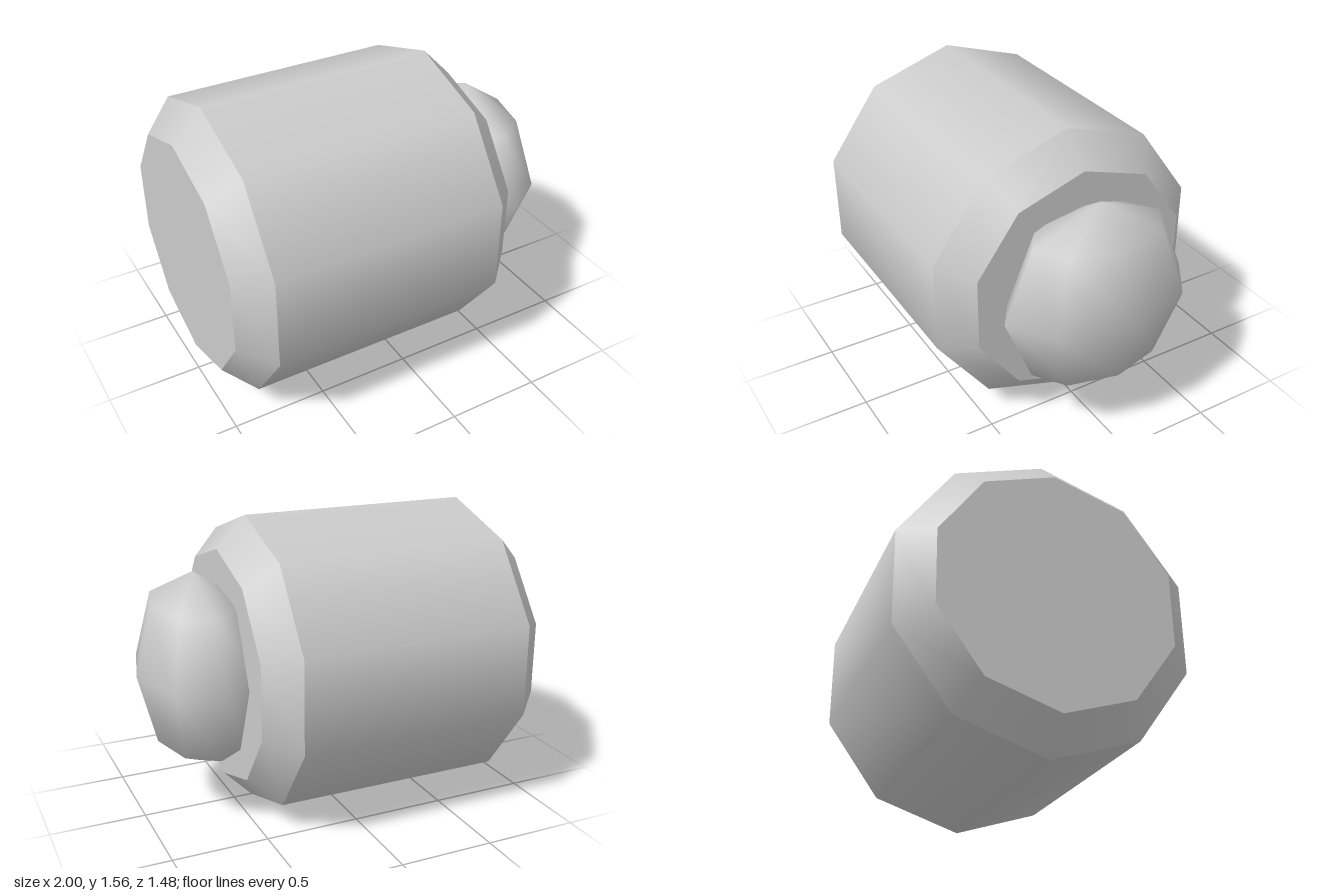
import * as THREE from 'three';

const SIDES = 10;
const AXIS_Y = 0.78;

export function createModel() {
  const model = new THREE.Group();
  const grey = new THREE.MeshStandardMaterial({ color: 0xcccccc });
  grey.name = 'light grey';

  const add = (name, geometry, parent) => {
    const mesh = new THREE.Mesh(geometry, grey);
    mesh.name = name;
    parent.add(mesh);
    return mesh;
  };

  // Ten-sided barrel lying along x, with a corner pointing straight up
  const barrel = new THREE.Group();
  barrel.name = 'barrel';
  barrel.position.y = AXIS_Y;
  model.add(barrel);

  // Each band is smooth around its girth, with sharp edges between bands
  const profile = [[-1, 0.62], [-0.845, 0.78], [0.4, 0.78], [0.555, 0.62]];
  const names = ['leftBevel', 'barrelWall', 'rightBevel'];
  names[0] = 'rearBevel';
  names[2] = 'knobSideBevel';
  for (let i = 0; i < 3; i++) {
    const [x0, r0] = profile[i];
    const [x1, r1] = profile[i + 1];
    const band = new THREE.CylinderGeometry(r1, r0, x1 - x0, SIDES, 1, true, Math.PI / 2);
    band.rotateZ(-Math.PI / 2);
    band.translate((x0 + x1) / 2, 0, 0);
    add(names[i], band, barrel);
  }

  // Flat end caps
  for (const [name, x, dir] of [['rearCap', -1, -1], ['knobSideCap', 0.555, 1]]) {
    const cap = new THREE.CircleGeometry(0.62, SIDES, Math.PI / 2);
    cap.rotateY(dir * Math.PI / 2);
    cap.translate(x, 0, 0);
    add(name, cap, barrel);
  }

  // Low-poly smooth knob, flattened along x and sunk into the end cap
  const knob = add('knob', new THREE.SphereGeometry(0.52, 8, 4), model);
  knob.position.set(0.685, AXIS_Y, 0);
  knob.scale.x = 0.315 / 0.52;

  return model;
}
